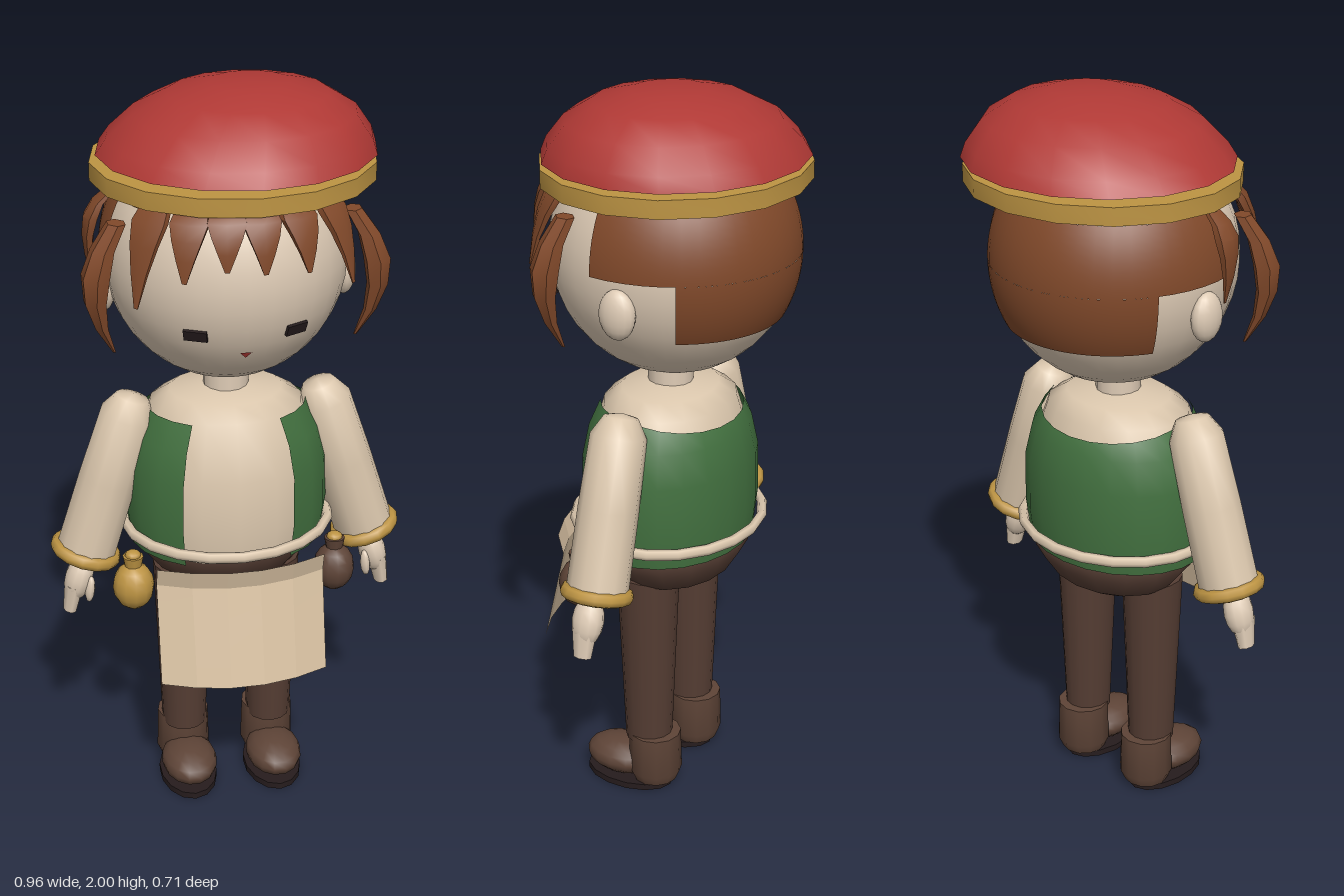
import * as THREE from 'three';
import { toCreasedNormals } from 'three/addons/utils/BufferGeometryUtils.js';

const mat = (name, color, side = THREE.FrontSide) => {
  const m = new THREE.MeshStandardMaterial({ color, side });
  m.name = name;
  return m;
};

export function createModel() {
  const skin = mat('skin', 0xdfccb6);
  const shirt = mat('shirt cream', 0xdbc7ad);
  const cloth = mat('apron linen', 0xd9c2a3, THREE.DoubleSide);
  const hair = mat('hair brown', 0x81492a, THREE.DoubleSide);
  const red = mat('cap red', 0xb03935);
  const gold = mat('gold trim', 0xbd9443);
  const green = mat('vest green', 0x42703f, THREE.DoubleSide);
  const trousers = mat('trouser brown', 0x553d33);
  const leather = mat('boot brown', 0x5e4437);
  const dark = mat('dark', 0x261c1d);

  const model = new THREE.Group();
  const add = (name, geo, material, parent = model, x = 0, y = 0, z = 0) => {
    const m = new THREE.Mesh(geo, material);
    m.name = name;
    m.position.set(x, y, z);
    parent.add(m);
    return m;
  };
  const group = (name, parent = model) => {
    const g = new THREE.Group();
    g.name = name;
    parent.add(g);
    return g;
  };
  // Profile points run from bottom to top
  const lathe = (pts, seg = 16, start = 0, len = Math.PI * 2) =>
    new THREE.LatheGeometry(pts.map(p => new THREE.Vector2(...p)), seg, start, len);
  const ellipsoid = (rx, ry, rz, w = 16, h = 10) => new THREE.SphereGeometry(1, w, h).scale(rx, ry, rz);

  // Head, ears, neck
  const HY = 1.572, HZ = 0.01;
  const head = group('head');
  add('skull', ellipsoid(0.315, 0.335, 0.326, 32, 20), skin, head, 0, HY, HZ);
  add('neck', new THREE.CylinderGeometry(0.06, 0.06, 0.14, 14), skin, head, 0, 1.22, 0.02);
  for (const s of [1, -1]) add('ear', ellipsoid(0.032, 0.066, 0.05), skin, head, s * 0.315, 1.485, 0);

  // Eyes and mouth, laid against the face
  const onFace = (name, geo, material, x, y) => {
    const nx = x / 0.315, ny = (y - HY) / 0.335;
    const z = HZ + 0.326 * Math.sqrt(1 - nx * nx - ny * ny);
    const n = new THREE.Vector3(nx / 0.315, ny / 0.335, (z - HZ) / 0.326 ** 2).normalize();
    const m = add(name, geo, material, head, x + n.x * 0.004, y + n.y * 0.004, z + n.z * 0.004);
    m.lookAt(m.position.clone().add(n));
  };
  for (const s of [1, -1]) onFace('eye', new THREE.BoxGeometry(0.06, 0.03, 0.008), dark, s * 0.125, 1.456);
  const lips = new THREE.Shape([[-0.015, 0.009], [0, -0.013], [0.015, 0.009]].map(p => new THREE.Vector2(...p)));
  onFace('mouth', new THREE.ShapeGeometry(lips), red, 0, 1.396);

  // Hair shell in stepped tiers: [phiStart, phiLength, thetaStart, thetaEnd]
  const hairGroup = group('hair', head);
  const PI = Math.PI;
  for (const [p, pl, t0, t1] of [
    [0, PI * 2, 0, 0.84],
    [PI - 0.65, PI + 1.3, 0.84, 1.05],
    [PI - 0.2, PI + 0.4, 1.05, PI / 2],
    [PI + 0.49, PI - 0.98, PI / 2, 2.07],
  ]) {
    const g = new THREE.SphereGeometry(1, 24, 8, p, pl, t0, t1 - t0).scale(0.324, 0.344, 0.334);
    add('hairShell', g, hair, hairGroup, 0, HY, HZ);
  }

  // Pointed lock that follows a curve at one azimuth around the head
  const lock = (name, a, radii, ys, width, depth = 0.02) => {
    const out = new THREE.Vector3(Math.sin(a), 0, Math.cos(a));
    const sideways = new THREE.Vector3(Math.cos(a), 0, -Math.sin(a));
    const curve = new THREE.QuadraticBezierCurve3(
      ...radii.map((r, i) => out.clone().multiplyScalar(r).setY(ys[i])));
    const g = new THREE.CylinderGeometry(1, 1, 1, 6, 5);
    const pos = g.attributes.position;
    for (let i = 0; i < pos.count; i++) {
      const t = 0.5 - pos.getY(i);
      const k = t < 0.4 ? 0.65 + 0.875 * t : 1 - 0.88 * ((t - 0.4) / 0.6) ** 1.3;
      const v = curve.getPoint(t)
        .addScaledVector(sideways, pos.getX(i) * width * k)
        .addScaledVector(out, pos.getZ(i) * depth * k);
      pos.setXYZ(i, v.x, v.y, v.z);
    }
    add(name, toCreasedNormals(g, 0.6), hair, hairGroup, 0, 0, HZ);
  };
  for (const [a, tip, tipR] of [
    [-0.8, 1.53, 0.375], [-0.46, 1.61, 0.36], [-0.17, 1.64, 0.35],
    [0.1, 1.63, 0.35], [0.42, 1.62, 0.36], [0.8, 1.56, 0.38],
  ]) lock('fringeLock', a, [0.25, 0.34, tipR], [1.79, 1.76, tip], 0.055);
  for (const s of [1, -1]) lock('sideLock', s * 1.12, [0.33, 0.46, 0.345], [1.71, 1.56, 1.37], 0.045, 0.035);
  lock('sideTuft', -1.5, [0.3, 0.38, 0.345], [1.75, 1.7, 1.52], 0.04);

  // Soft cap with rim
  const cap = group('cap');
  const dome = lathe([[0, 1.81], [0.27, 1.812], [0.352, 1.828], [0.333, 1.865], [0.28, 1.925],
    [0.2, 1.97], [0.1, 1.995], [0, 2]]);
  const dp = dome.attributes.position;
  for (let i = 0; i < dp.count; i++) dp.setX(i, dp.getX(i) + 0.2 * (dp.getY(i) - 1.83));
  dome.scale(1.02, 1, 0.96);
  add('capDome', toCreasedNormals(dome, 0.9), red, cap, 0.035, 0, -0.015);
  const rim = lathe([[0.29, 1.765], [0.366, 1.765], [0.366, 1.812], [0.29, 1.812], [0.29, 1.765]]);
  add('capRim', toCreasedNormals(rim.scale(1, 1, 0.935), 0.6), gold, cap, 0.025, 0, -0.01);

  // Torso, vest open at the front, hips and belt
  const torso = group('torso');
  add('shirtBody', lathe([[0.25, 0.76], [0.264, 0.85], [0.258, 1], [0.205, 1.15], [0.15, 1.185], [0.05, 1.2], [0, 1.2]])
    .scale(1, 1, 0.83), shirt, torso, 0, 0, 0.02);
  const vest = lathe([[0.262, 0.755], [0.274, 0.85], [0.272, 0.99], [0.25, 1.08], [0.214, 1.15]], 18, 0.57, PI * 2 - 1.14)
    .scale(1, 1, 0.83);
  const vp = vest.attributes.position;
  for (let i = 0; i < vp.count; i++) { // dip the back neckline
    if (vp.getY(i) > 1.1 && vp.getZ(i) < 0) {
      const d = -vp.getZ(i) / 0.178;
      vp.setXYZ(i, vp.getX(i) * (1 + 0.06 * d), vp.getY(i) - 0.035 * d, vp.getZ(i) * (1 + 0.06 * d));
    }
  }
  vest.computeVertexNormals();
  add('vest', vest, green, torso, 0, 0, 0.02);
  add('hips', lathe([[0, 0.605], [0.1, 0.615], [0.19, 0.66], [0.238, 0.72], [0.25, 0.78], [0, 0.78]])
    .scale(1, 1, 0.78), trousers, torso, 0, 0, 0);
  add('belt', new THREE.TorusGeometry(0.278, 0.015, 6, 20).rotateX(PI / 2).scale(1, 1, 0.9),
    shirt, torso, 0, 0.806, 0.025);

  // Apron: curved panel that flares out below the waist
  const apron = new THREE.PlaneGeometry(0.45, 0.325, 5, 6);
  const ap = apron.attributes.position;
  for (let i = 0; i < ap.count; i++) {
    const x = ap.getX(i), y = ap.getY(i) + 0.6125;
    const z = y > 0.72 ? 0.285 + (y - 0.72) * 0.27 : 0.285 + (0.72 - y) * 0.24;
    ap.setXYZ(i, x, y, z - 0.055 * (x / 0.225) ** 2);
  }
  add('apron', toCreasedNormals(apron, 0.1), cloth);

  // Waist pouches
  for (const s of [1, -1]) {
    const pouch = group('pouch');
    pouch.position.set(s * 0.275, 0.68, 0.15);
    add('pouchBag', ellipsoid(0.056, 0.068, 0.056, 12, 8), s > 0 ? leather : gold, pouch);
    add('pouchNeck', new THREE.CylinderGeometry(0.028, 0.022, 0.035, 10), s > 0 ? leather : gold, pouch, 0, 0.072, 0);
    add('pouchKnot', ellipsoid(0.022, 0.014, 0.022, 10, 6), gold, pouch, 0, 0.092, 0);
  }

  for (const s of [1, -1]) {
    // Arm with cuff and hand
    const arm = group(s > 0 ? 'leftArm' : 'rightArm');
    arm.position.set(s * 0.255, 1.16, 0.03);
    arm.rotation.z = s * 0.3;
    add('sleeve', toCreasedNormals(lathe([[0, -0.445], [0.082, -0.445], [0.08, -0.22], [0.074, -0.03],
      [0.045, 0.02], [0, 0.03]], 12), 0.9), shirt, arm);
    add('cuff', new THREE.TorusGeometry(0.078, 0.02, 8, 14).rotateX(PI / 2), gold, arm, 0, -0.447, 0);
    add('palm', ellipsoid(0.038, 0.07, 0.044, 12, 8), skin, arm, 0, -0.525, 0.015);
    const fingers = add('fingers', new THREE.CylinderGeometry(0.034, 0.024, 0.08, 8).scale(0.8, 1, 1.1),
      skin, arm, s * 0.003, -0.585, 0.018);
    fingers.rotation.z = s * -0.12;
    const thumb = add('thumb', ellipsoid(0.014, 0.04, 0.016, 8, 6), skin, arm, s * -0.032, -0.54, 0.045);
    thumb.rotation.z = s * -0.2;

    // Leg with boot
    const leg = group(s > 0 ? 'leftLeg' : 'rightLeg');
    leg.position.x = s * 0.122;
    add('trouserLeg', new THREE.CylinderGeometry(0.087, 0.066, 0.52, 14).scale(0.93, 1, 1), trousers, leg, 0, 0.41, 0.025);
    add('bootShaft', toCreasedNormals(lathe([[0, 0.02], [0.062, 0.02], [0.075, 0.05], [0.072, 0.17], [0, 0.172]], 12), 0.7),
      leather, leg, 0, 0, 0.005);
    add('bootToe', ellipsoid(0.078, 0.052, 0.108, 14, 8), leather, leg, 0, 0.064, 0.11);
    add('sole', new THREE.CylinderGeometry(0.08, 0.08, 0.018, 14).scale(1, 1, 1.62), dark, leg, 0, 0.009, 0.087);
  }
  return model;
}
